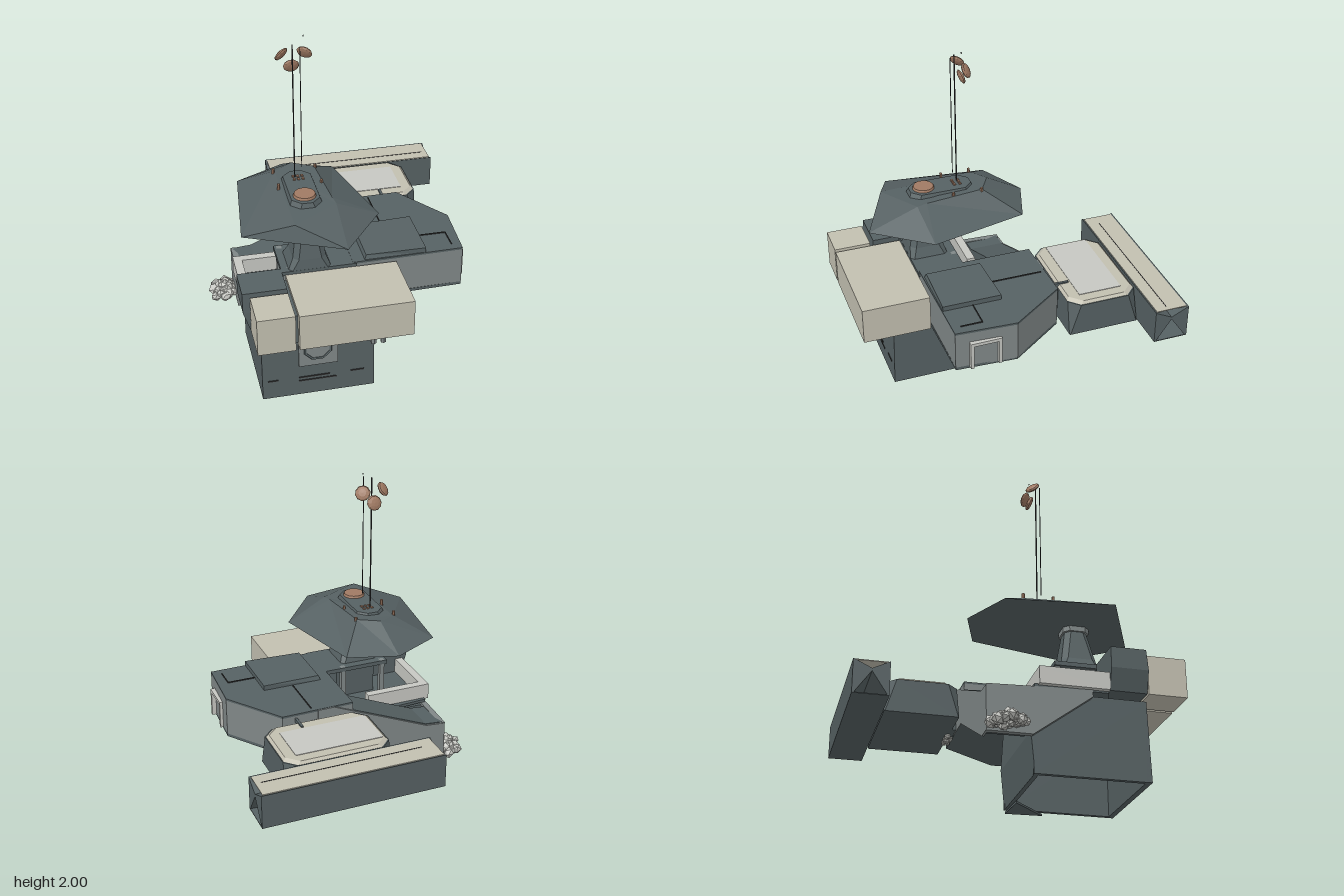
import * as THREE from 'three';

const mat = (color) => new THREE.MeshStandardMaterial({ color, flatShading: true, side: THREE.DoubleSide });

export function createModel() {
  const group = new THREE.Group();
  const dark = mat(0x566163), grey = mat(0x808787), beige = mat(0xc2bfb0);
  const pale = mat(0xc6c7c2), brown = mat(0xa07a63), black = mat(0x333333);

  const add = (name, geometry, material, parent = group) => {
    const mesh = new THREE.Mesh(geometry, material);
    mesh.name = name;
    parent.add(mesh);
    return mesh;
  };
  // Box given by its extents
  const box = (name, x0, x1, y0, y1, z0, z1, material) => {
    const m = add(name, new THREE.BoxGeometry(x1 - x0, y1 - y0, z1 - z0), material);
    m.position.set((x0 + x1) / 2, (y0 + y1) / 2, (z0 + z1) / 2);
  };
  const shapeOf = (pts) => new THREE.Shape(pts.map(([a, b]) => new THREE.Vector2(a, b)));
  const extrude = (pts, depth) => new THREE.ExtrudeGeometry(shapeOf(pts), { depth, bevelEnabled: false });
  // Floor plan in x and z, raised from y0 to y1
  const plan = (name, pts, y0, y1, material) =>
    add(name, extrude(pts, y1 - y0).rotateX(Math.PI / 2).translate(0, y1, 0), material);
  // Profile in z and y, running from x0 to x1
  const along = (name, pts, x0, x1, material) =>
    add(name, extrude(pts, x1 - x0).rotateY(-Math.PI / 2).translate(x1, 0, 0), material);
  // Skin over rings of [x, y, z], with a fan closing each end
  const loft = (name, rings, material) => {
    const pos = [], n = rings[0].length;
    for (let r = 0; r < rings.length - 1; r++) {
      for (let i = 0; i < n; i++) {
        const j = (i + 1) % n, a = rings[r], b = rings[r + 1];
        pos.push(...a[i], ...b[i], ...b[j], ...a[i], ...b[j], ...a[j]);
      }
    }
    const first = rings[0], last = rings[rings.length - 1];
    for (let i = 1; i < n - 1; i++) {
      pos.push(...first[0], ...first[i], ...first[i + 1], ...last[0], ...last[i + 1], ...last[i]);
    }
    const g = new THREE.BufferGeometry();
    g.setAttribute('position', new THREE.Float32BufferAttribute(pos, 3));
    g.computeVertexNormals();
    return add(name, g, material);
  };
  // Rectangle with cut corners
  const octagon = (x0, x1, z0, z1, c, y) => [
    [x0 + c, z0], [x1 - c, z0], [x1, z0 + c], [x1, z1 - c],
    [x1 - c, z1], [x0 + c, z1], [x0, z1 - c], [x0, z0 + c]].map(([x, z]) => [x, y, z]);

  // Hollow base, open underneath
  box('baseTop', -0.59, 0.06, 0.45, 0.475, 0.03, 0.66, dark);
  along('baseFrontWall', [[0.64, 0.02], [0.672, 0.02], [0.66, 0.475], [0.64, 0.475]], -0.59, 0.06, dark);
  along('baseBackWall', [[0.035, 0.02], [0.06, 0.02], [0.06, 0.475], [0.03, 0.475], [0.015, 0.25]], -0.59, 0.06, dark);
  box('baseLeftWall', 0.035, 0.06, 0.02, 0.47, 0.03, 0.66, dark);
  box('baseRightWall', -0.59, -0.565, 0.02, 0.47, 0.03, 0.66, dark);
  plan('baseFlap', [[-0.15, 0.05], [0.06, 0.04], [0.05, 0.25]], 0, 0.012, dark);
  box('basePlate', -0.38, -0.155, 0.22, 0.45, 0.655, 0.677, grey);
  add('porthole', new THREE.TorusGeometry(0.08, 0.009, 5, 8).rotateZ(Math.PI / 8), dark).position.set(-0.27, 0.34, 0.675);
  for (const [x0, x1, y] of [[-0.56, -0.5, 0.138], [-0.38, -0.16, 0.115], [-0.38, -0.2, 0.138], [-0.08, 0, 0.138]])
    box('baseSlit', x0, x1, y - 0.004, y + 0.004, 0.665, 0.673, black);

  // Deck, main room and its roof
  const roomPlan = [[-0.02, -0.22], [0.42, -0.23], [0.65, 0.1], [0.63, 0.46], [-0.02, 0.47]];
  plan('deck', [[-0.62, 0.03], [-0.1, 0], [0, -0.23], [0.42, -0.23], [0.65, 0.1], [0.63, 0.46], [0.2, 0.47],
    [-0.43, 0.5], [-0.62, 0.44]], 0.49, 0.508, dark);
  plan('mainRoom', roomPlan, 0.5, 0.73, grey);
  plan('mainRoof', roomPlan, 0.73, 0.742, dark);
  loft('raisedRoof', [
    [[0.05, 0.74, 0.11], [0.41, 0.74, 0.11], [0.41, 0.74, 0.46], [0.05, 0.74, 0.46]],
    [[0.06, 0.768, 0.12], [0.41, 0.772, 0.11], [0.41, 0.772, 0.46], [0.06, 0.768, 0.45]]], dark);
  for (const [x0, x1, z0, z1] of [[0.23, 0.235, -0.2, 0.1], [0.41, 0.58, 0.28, 0.285], [0.575, 0.58, 0.28, 0.41]])
    box('roofSeam', x0, x1, 0.74, 0.748, z0, z1, black);
  box('rearPost', 0.33, 0.345, 0.695, 0.718, -0.33, -0.22, dark);

  // Side doorway
  const door = new THREE.Group();
  door.name = 'doorway';
  group.add(door);
  for (const [y, z, h, d] of [[0.585, 0.205, 0.17, 0.02], [0.585, 0.37, 0.17, 0.02], [0.66, 0.288, 0.02, 0.16]])
    add('doorFrame', new THREE.BoxGeometry(0.04, h, d), pale, door).position.set(0.642, y, z);

  // Front rooms
  box('frontRoom', -0.41, 0.23, 0.5, 0.72, 0.48, 0.88, beige);
  box('frontCornerRoom', -0.64, -0.43, 0.5, 0.725, 0.66, 0.88, beige);
  box('frontRoomLink', -0.44, -0.4, 0.52, 0.7, 0.5, 0.84, dark);
  loft('sideRoom', [
    [[-0.64, 0.5, 0.44], [-0.43, 0.5, 0.44], [-0.43, 0.5, 0.65], [-0.64, 0.5, 0.65]],
    [[-0.68, 0.62, 0.44], [-0.43, 0.62, 0.44], [-0.43, 0.62, 0.65], [-0.68, 0.62, 0.65]],
    [[-0.68, 0.74, 0.44], [-0.43, 0.74, 0.44], [-0.43, 0.74, 0.64], [-0.68, 0.74, 0.64]]], dark);
  for (const x of [0.02, 0.075])
    for (const z of [0.75, 0.8])
      add('underPeg', new THREE.CylinderGeometry(0.018, 0.016, 0.085, 6), grey).position.set(x, 0.46, z);

  // Terrace parapet and the glazed core under the tower
  plan('parapet', [[-0.65, 0.05], [-0.24, 0.05], [-0.24, 0.1], [-0.6, 0.1], [-0.6, 0.44], [-0.65, 0.44]], 0.5, 0.6, pale);
  box('core', -0.37, -0.12, 0.5, 0.74, 0.27, 0.48, dark);
  for (const [x, z] of [[-0.4, 0.22], [-0.14, 0.22], [-0.4, 0.42]])
    box('corePost', x - 0.015, x + 0.015, 0.5, 0.74, z - 0.015, z + 0.015, grey);
  box('coreCeiling', -0.43, 0.0, 0.715, 0.74, 0.2, 0.48, dark);

  // Covered stair with a stepped underside
  const stair = [[0.2, 0.742], [0.1, 0.742], [-0.5, 0.49], [-0.62, 0.48], [-0.62, 0.23], [-0.55, 0.23]];
  const steps = 8;
  for (let i = 0; i < steps; i++) {
    const x = -0.55 + (i * 0.55) / steps, y = 0.23 + ((i + 1) * 0.27) / steps;
    stair.push([x, y], [x + 0.55 / steps, y]);
  }
  stair.push([0.2, 0.5]);
  add('stair', extrude(stair, 0.21).translate(0, 0, -0.22), dark);
  add('stairWall', extrude([[0.2, 0.74], [0.1, 0.74], [-0.5, 0.485], [-0.62, 0.475], [-0.62, 0.22],
    [-0.53, 0.22], [0, 0.49], [0.2, 0.49]], 0.012).translate(0, 0, -0.232), grey);
  along('landingWall', [[-0.23, 0.22], [0.02, 0.22], [0.35, 0.46], [0.35, 0.5], [-0.23, 0.48]], -0.625, -0.59, grey);

  // Tower stem: flared foot, tapering shaft and collar
  loft('stem', [
    octagon(-0.39, -0.145, 0.25, 0.48, 0.02, 0.735), octagon(-0.36, -0.17, 0.27, 0.47, 0.03, 0.8),
    octagon(-0.33, -0.2, 0.3, 0.43, 0.03, 0.98)], dark);
  loft('collar', [octagon(-0.34, -0.19, 0.29, 0.44, 0.03, 0.98), octagon(-0.34, -0.19, 0.29, 0.44, 0.03, 1.015)], grey);

  // Faceted canopy
  loft('canopy', [
    [[-0.58, 1.01, -0.12], [-0.29, 1.01, -0.265], [0, 1.01, -0.17], [0.14, 1.01, 0.41], [-0.11, 1.01, 0.735], [-0.65, 1.01, 0.49]],
    [[-0.38, 1.13, 0.02], [-0.27, 1.14, -0.04], [-0.15, 1.14, 0.03], [-0.12, 1.13, 0.38], [-0.11, 1.125, 0.44], [-0.37, 1.11, 0.59]]], dark);
  loft('canopyCap', [octagon(-0.36, -0.18, 0.06, 0.45, 0.05, 1.12), octagon(-0.35, -0.19, 0.07, 0.44, 0.05, 1.147)], dark);
  add('topDisc', new THREE.CylinderGeometry(0.06, 0.065, 0.014, 14), brown).position.set(-0.27, 1.155, 0.355);
  for (let i = 0; i < 6; i++) {
    const x = -0.3 + (i % 3) * 0.025, z = i > 2 ? 0.165 : 0.13;
    box('capStud', x, x + 0.015, 1.14, 1.153, z, z + 0.015, brown);
  }
  for (const x of [-0.39, -0.145])
    for (const z of [0.035, 0.21])
      add('canopyPeg', new THREE.CylinderGeometry(0.009, 0.009, 0.045, 6), brown).position.set(x, 1.13, z);

  // Masts with three small dishes facing back and up
  box('mastTall', -0.288, -0.282, 1.15, 1.96, 0.142, 0.148, black);
  box('mastShort', -0.252, -0.248, 1.23, 1.96, 0.178, 0.182, black);
  box('mastTip', -0.222, -0.217, 1.992, 2, 0.12, 0.125, black);
  for (const [x, y, z, rx, rz] of [[-0.34, 1.895, 0.11, -0.8, 0.6], [-0.21, 1.89, 0.1, -1.0, -0.5], [-0.285, 1.82, 0.105, -1.2, 0]]) {
    const dish = add('dish', new THREE.SphereGeometry(0.045, 10, 6).scale(1, 0.35, 1), brown);
    dish.position.set(x, y, z);
    dish.rotation.set(rx, 0, rz);
  }

  // Rear pod
  loft('podBody', [octagon(-0.07, 0.56, -0.68, -0.255, 0.005, 0.5), octagon(-0.07, 0.56, -0.675, -0.26, 0.06, 0.695)], dark);
  loft('podTop', [octagon(-0.065, 0.555, -0.675, -0.26, 0.065, 0.695), octagon(-0.05, 0.54, -0.66, -0.275, 0.065, 0.71)], beige);
  box('podPanel', -0.04, 0.48, 0.705, 0.713, -0.6, -0.34, pale);
  box('podLink', 0.13, 0.36, 0.5, 0.68, -0.27, -0.2, dark);
  box('beamLink', 0.2, 0.29, 0.53, 0.68, -0.7, -0.66, dark);

  // Long rear beam: pinched core between flat top and bottom plates
  along('beam', [[-0.685, 0.5], [-0.685, 0.7], [-0.785, 0.65], [-0.89, 0.7], [-0.89, 0.5], [-0.88, 0.5],
    [-0.785, 0.635], [-0.695, 0.5]], -0.29, 0.78, dark);
  box('beamBottom', -0.29, 0.78, 0.498, 0.503, -0.89, -0.685, dark);
  box('beamTop', -0.28, 0.77, 0.696, 0.701, -0.88, -0.695, beige);
  box('beamSeam', -0.2, 0.74, 0.7, 0.703, -0.768, -0.764, black);

  // Rubble heaps
  let seed = 7;
  const rand = () => (seed = (seed * 16807) % 2147483647) / 2147483647;
  const rock = (x, y, z, r) => {
    const m = add('rock', new THREE.IcosahedronGeometry(r, 0), pale);
    m.position.set(x, y, z);
    m.rotation.set(rand() * 6, rand() * 6, rand() * 6);
    m.scale.set(0.8 + rand() * 0.4, 0.7 + rand() * 0.3, 0.8 + rand() * 0.4);
  };
  for (let i = 0; i < 24; i++) {
    const a = i * 2.4, d = Math.sqrt(i / 24);
    rock(-0.685 + 0.075 * d * Math.cos(a), 0.3 - 0.05 * d + (rand() - 0.5) * 0.02, -0.125 + 0.1 * d * Math.sin(a), 0.033);
  }
  for (let i = 0; i < 8; i++) rock(0.2 + i * 0.017, 0.48 + (rand() - 0.5) * 0.02, -0.22 - rand() * 0.05, 0.02);

  return group;
}
